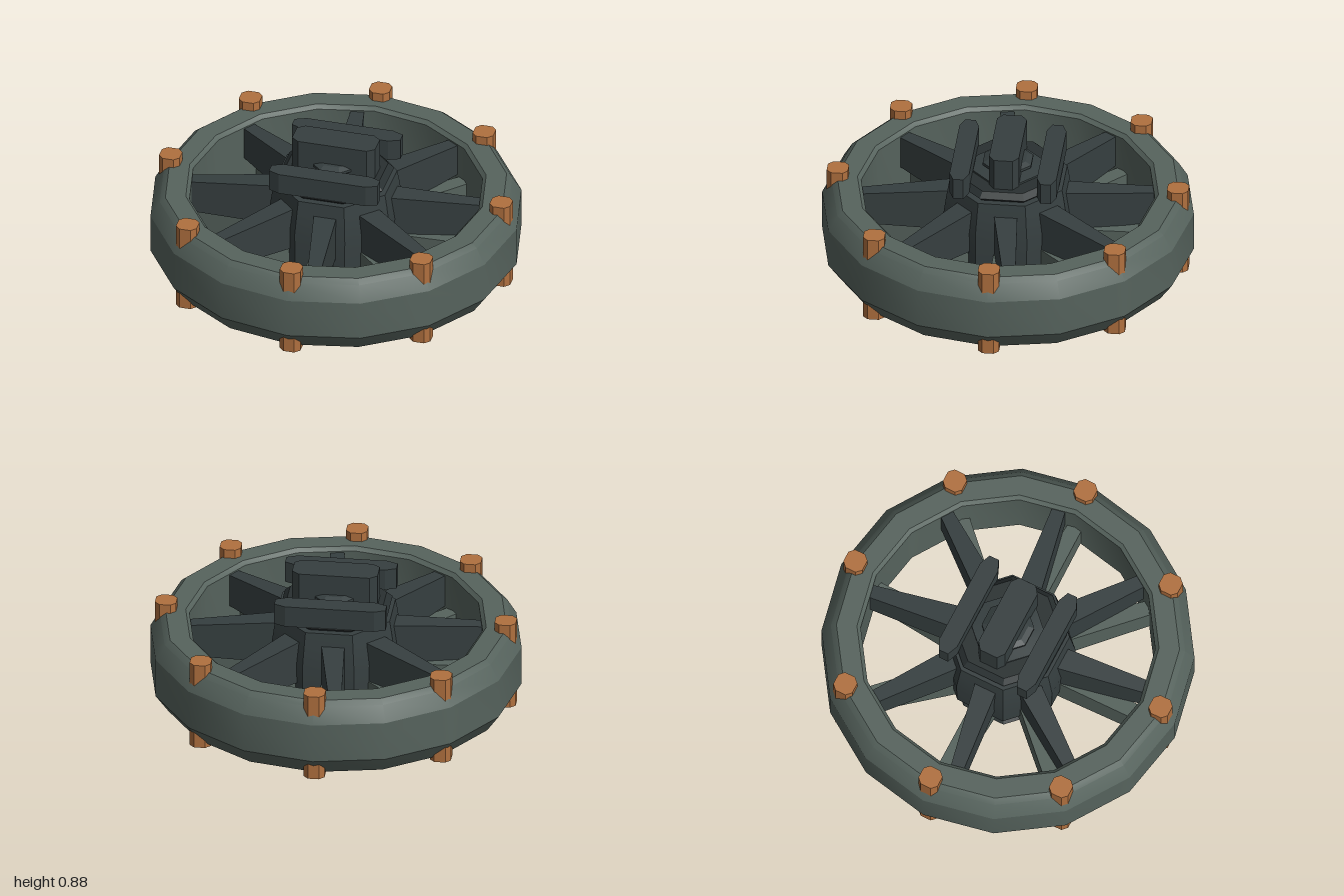
import * as THREE from 'three';
import { toCreasedNormals } from 'three/addons/utils/BufferGeometryUtils.js';

const mat = (name, color) => {
  const m = new THREE.MeshStandardMaterial({ color });
  m.name = name;
  return m;
};
const lerp = THREE.MathUtils.lerp;

export function createModel() {
  const model = new THREE.Group();
  model.name = 'spokedWheel';
  const green = mat('grey green', 0x56635d);
  const dark = mat('dark slate', 0x363f40);
  const black = mat('near black', 0x293031);
  const copper = mat('copper', 0xb0703f);
  const gold = mat('gold', 0xb5984a);

  const add = (name, geo, material, parent = model, crease = 0.3) => {
    const mesh = new THREE.Mesh(toCreasedNormals(geo, crease), material);
    mesh.name = name;
    parent.add(mesh);
    return mesh;
  };

  // Turned part: [radius, y] points from bottom to top
  const turned = (pts, sides, start = 0) =>
    new THREE.LatheGeometry(pts.map(p => new THREE.Vector2(...p)), sides, start);
  // Eight-sided turned part with flats facing the axes; radii are to the flats
  const octagon = pts =>
    turned(pts.map(([r, y]) => [r / Math.cos(Math.PI / 8), y]), 8, Math.PI / 8);

  // Upright block with cut corners
  const cutBlock = (w, d, cx, cz, y0, y1) => {
    const x = w / 2, z = d / 2;
    const shape = new THREE.Shape([
      [-x, -z + cz], [-x + cx, -z], [x - cx, -z], [x, -z + cz],
      [x, z - cz], [x - cx, z], [-x + cx, z], [-x, z - cz],
    ].map(p => new THREE.Vector2(...p)));
    return new THREE.ExtrudeGeometry(shape, { depth: y1 - y0, bevelEnabled: false })
      .rotateX(-Math.PI / 2).translate(0, y0, 0);
  };

  // Rim
  add('rim', turned([
    [0.79, 0.17], [0.81, 0.15], [0.93, 0.15], [1, 0.25], [1, 0.47], [0.95, 0.555],
    [0.92, 0.58], [0.81, 0.58], [0.79, 0.56], [0.79, 0.17],
  ], 16), green, model, 0.45);

  // Rim studs
  const studs = new THREE.Group();
  studs.name = 'rimStuds';
  model.add(studs);
  for (let i = 0; i < 8; i++) {
    const a = i * Math.PI / 4;
    const stud = add('stud', cutBlock(0.114, 0.114, 0.027, 0.027, 0.13, 0.63), copper, studs);
    stud.position.set(0.915 * Math.sin(a), 0, 0.915 * Math.cos(a));
  }

  // Tapered spokes, leaning sideways from hub (first value) to rim (second value)
  const spokeGeo = (offset, half, bottom, top) => {
    const g = new THREE.BoxGeometry(1, 1, 1);
    const p = g.attributes.position;
    for (let i = 0; i < p.count; i++) {
      const t = p.getZ(i) + 0.5;
      p.setXYZ(i,
        lerp(...offset, t) + 2 * p.getX(i) * lerp(...half, t),
        p.getY(i) > 0 ? lerp(...top, t) : lerp(...bottom, t),
        lerp(0.26, 0.81, t));
    }
    return g;
  };
  const spokes = new THREE.Group();
  spokes.name = 'spokes';
  model.add(spokes);
  for (let i = 0; i < 8; i++) {
    add('upperSpoke', spokeGeo([0.015, 0.095], [0.065, 0.035], [0.33, 0.37], [0.58, 0.55]),
      dark, spokes).rotation.y = i * Math.PI / 4;
    add('lowerSpoke', spokeGeo([0.02, 0], [0.06, 0.04], [0.15, 0.19], [0.35, 0.36]),
      green, spokes).rotation.y = i * Math.PI / 4;
  }

  // Hub body, with flanges above and below
  add('hub', octagon([
    [0, 0.10], [0.25, 0.10], [0.26, 0.15], [0.33, 0.24], [0.335, 0.45],
    [0.315, 0.59], [0.305, 0.65], [0, 0.65],
  ]), dark);
  add('lowerFlange', octagon([
    [0, 0.05], [0.26, 0.05], [0.29, 0.07], [0.25, 0.105], [0, 0.105],
  ]), black);
  add('upperFlange', octagon([
    [0, 0.65], [0.27, 0.65], [0.29, 0.67], [0.26, 0.70], [0, 0.70],
  ]), black);
  add('neck', octagon([
    [0.18, 0.69], [0.18, 0.71], [0.11, 0.72], [0.13, 0.735], [0.13, 0.75], [0.1, 0.765], [0, 0.765],
  ]), dark);

  // Gold cap underneath
  add('bottomCap', octagon([
    [0, 0], [0.115, 0], [0.13, 0.015], [0.085, 0.055], [0, 0.055],
  ]), gold);

  // Bars across the top
  add('centreBar', cutBlock(0.46, 0.16, 0.04, 0.03, 0.70, 0.88), dark);
  for (const s of [-1, 1]) {
    add('sideBar', cutBlock(0.6, 0.105, 0.06, 0.025, 0.67, 0.79), dark).position.z = s * 0.235;
  }

  return model;
}
